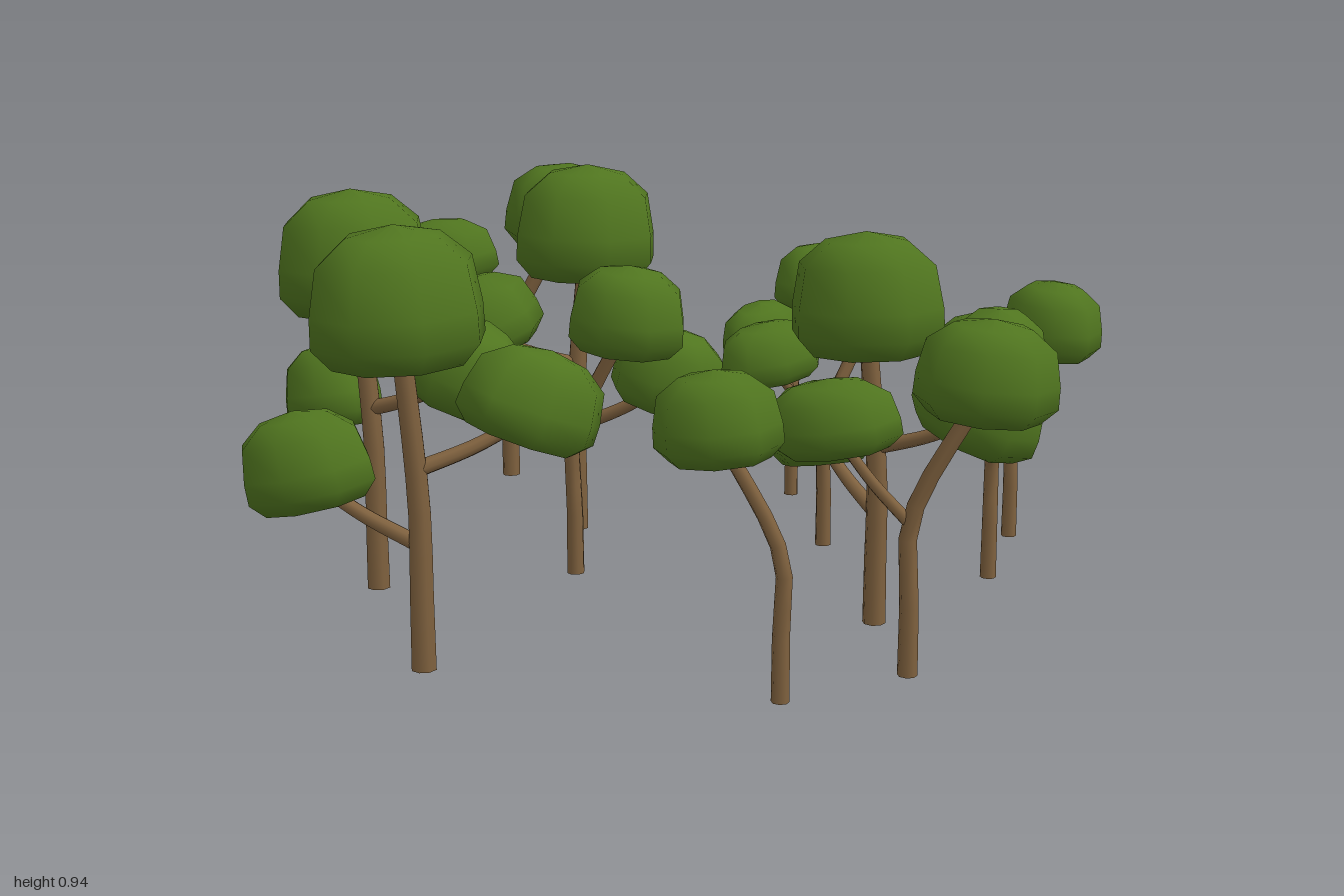
import * as THREE from 'three';

const bark = new THREE.MeshStandardMaterial({ color: 0x80623f });
const leaf = new THREE.MeshStandardMaterial({ color: 0x50751f });
const v = (x, y, z) => new THREE.Vector3(x, y, z);

// Crowns of each kind of tree; the first sits on the trunk, the others on side branches.
// angle and reach place a crown around the trunk, fork is where its limb leaves the trunk.
const mainCrown = { angle: 0, reach: 0.13, bottom: 0.49, top: 0.68, long: 0.13, wide: 0.112, tilt: 0.08, fork: 0.3 };
const sideCrown = { angle: 183, reach: 0.148, bottom: 0.41, top: 0.56, long: 0.125, wide: 0.094, tilt: 0.15, fork: 0.29 };
const KINDS = {
  single: { radius: 0.019, crowns: [mainCrown] },
  forked: { radius: 0.019, crowns: [mainCrown, sideCrown] },
  tall: { radius: 0.028, crowns: [
    { angle: -40, reach: 0.033, bottom: 0.65, top: 0.94, long: 0.183, wide: 0.168, tilt: 0.03, fork: 0.35 },
    { angle: 0, reach: 0.253, bottom: 0.325, top: 0.55, long: 0.148, wide: 0.117, tilt: 0.22, fork: 0.27 },
    { angle: 147, reach: 0.25, bottom: 0.45, top: 0.685, long: 0.157, wide: 0.118, tilt: 0.38, fork: 0.43 }] },
};

// Kind, base x, base z, scale, turn in degrees from +x towards +z
const GROVE = [
  ['tall', -0.71, 0.21, 1, -127],
  ['tall', -0.485, 0.72, 1, -171],
  ['tall', -0.315, -0.305, 1, 12],
  ['tall', 0.45, 0.345, 0.936, -125],
  ['forked', -0.58, -0.797, 1.31, 0],
  ['forked', 0.22, -0.67, 1, -62],
  ['forked', 0.32, -0.22, 1.05, -32],
  ['forked', 0.79, -0.34, 1, 52],
  ['forked', 0.52, 0.66, 1.12, 6],
  ['single', -0.265, 0.06, 1.12, 20],
  ['single', 0.265, 0.83, 1, 182],
  ['single', 0.72, 0, 1, 92],
];

// Unit dome: flattened underside, bulging rim, rounded top
const dome = new THREE.LatheGeometry(
  [[0, -0.5], [0.78, -0.48], [1, -0.32], [0.99, -0.1], [0.89, 0.24], [0.54, 0.43], [0, 0.5]]
    .map(([r, y]) => new THREE.Vector2(r, y)), 8);

// Round limb along a path, thinning from r0 to r1
function limb(name, points, r0, r1) {
  const path = new THREE.CatmullRomCurve3(points);
  const rings = 9, sides = 8;
  const geo = new THREE.TubeGeometry(path, rings, 1, sides, false);
  const pos = geo.attributes.position, p = v(0, 0, 0);
  for (let i = 0; i < pos.count; i++) {
    const t = Math.floor(i / (sides + 1)) / rings;
    const c = path.getPointAt(t);
    p.fromBufferAttribute(pos, i).sub(c).multiplyScalar(r0 + (r1 - r0) * t).add(c);
    pos.setXYZ(i, p.x, p.y, p.z);
  }
  const mesh = new THREE.Mesh(geo, bark);
  mesh.name = name;
  return mesh;
}

// Point in a crown's direction, at a share of its reach
function outward({ angle, reach }, share, y) {
  const a = THREE.MathUtils.degToRad(angle);
  return v(Math.cos(a) * reach * share, y, Math.sin(a) * reach * share);
}

// Leaf dome, long axis pointing away from the trunk and its outer side lowered
function crown(c) {
  const mesh = new THREE.Mesh(dome, leaf);
  mesh.name = 'crown';
  mesh.scale.set(c.long, c.top - c.bottom - 0.6 * c.long * Math.sin(c.tilt), c.wide);
  mesh.position.copy(outward(c, 1, (c.bottom + c.top) / 2));
  mesh.rotation.set(0, -THREE.MathUtils.degToRad(c.angle), -c.tilt, 'YXZ');
  return mesh;
}

function tree({ radius, crowns }) {
  const group = new THREE.Group();
  group.name = 'tree';
  const [main, ...sideCrowns] = crowns;
  const inside = (c) => outward(c, 1, c.bottom + (c.top - c.bottom) * 0.35);

  // Trunk rises straight, then bends to the main crown
  group.add(limb('trunk', [v(0, 0, 0), v(0, main.fork / 2, 0), v(0, main.fork, 0), inside(main)],
    radius, radius * 0.75));
  const base = new THREE.Mesh(new THREE.CircleGeometry(radius, 8), bark);
  base.name = 'trunkBase';
  base.rotation.x = Math.PI / 2;
  group.add(base, crown(main));

  // Side branches leave the trunk at fork height, sagging slightly
  for (const c of sideCrowns) {
    const share = Math.max(0, (c.fork - main.fork) / (main.bottom - main.fork));
    const start = outward(main, share, c.fork), end = inside(c);
    const mid = start.clone().lerp(end, 0.5);
    mid.y -= 0.01;
    group.add(limb('branch', [start, mid, end], radius * 0.65, radius * 0.5), crown(c));
  }
  return group;
}

export function createModel() {
  const model = new THREE.Group();
  model.name = 'grove';
  for (const [kind, x, z, scale, turn] of GROVE) {
    const t = tree(KINDS[kind]);
    t.position.set(x, 0, z);
    t.scale.setScalar(scale);
    t.rotation.y = -THREE.MathUtils.degToRad(turn);
    model.add(t);
  }
  return model;
}
